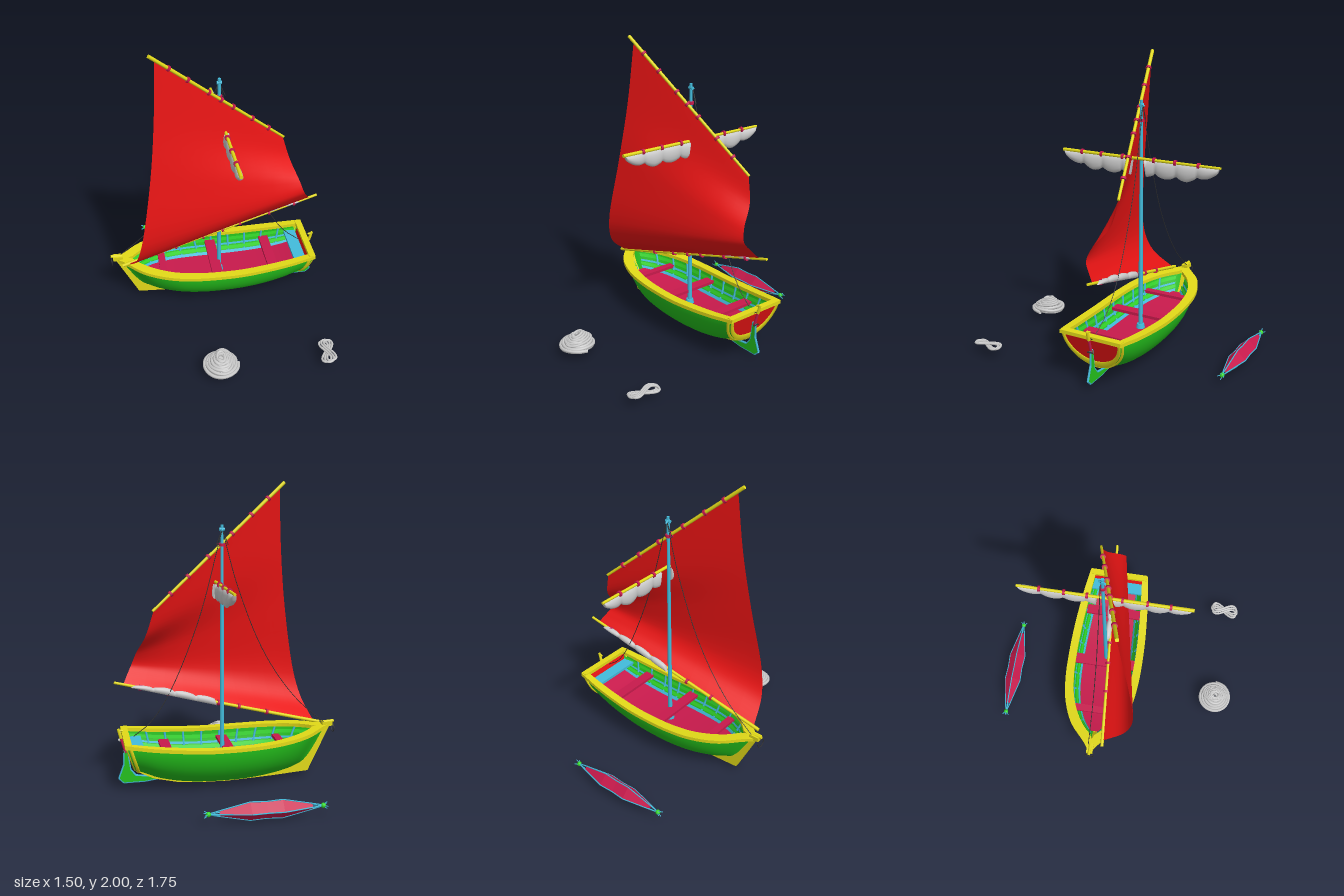
import * as THREE from 'three';

const GREEN = 0x24c01c, LIME = 0x34d82c, RED = 0xe81414, YELLOW = 0xe2da18, CYAN = 0x42bcdc, PINK = 0xc81a4c, GREY = 0xcccccc, DARK = 0x333333;
const ZC = -0.117; // boat centre line
const V = (x, y, z) => new THREE.Vector3(x, y, z);
const mat = (color, flatShading = false) => new THREE.MeshStandardMaterial({ color, flatShading, side: THREE.DoubleSide });

function add(parent, name, geo, color, flat) {
  const m = new THREE.Mesh(geo, mat(color, flat));
  m.name = name;
  parent.add(m);
  return m;
}
function box(parent, name, x, y, z, w, h, d, color) {
  add(parent, name, new THREE.BoxGeometry(w, h, d), color).position.set(x, y, z);
}
function rod(parent, name, a, b, r1, r2, color, sides = 12) {
  const m = add(parent, name, new THREE.CylinderGeometry(r2, r1, a.distanceTo(b), sides), color);
  m.position.lerpVectors(a, b, 0.5);
  m.quaternion.setFromUnitVectors(V(0, 1, 0), b.clone().sub(a).normalize());
}
function tube(parent, name, pts, r, color, seg = 32, closed = false) {
  add(parent, name, new THREE.TubeGeometry(new THREE.CatmullRomCurve3(pts, closed), seg, r, 6, closed), color);
}
function plate(parent, name, pts, depth, color) {
  const shape = new THREE.Shape(pts.map(p => new THREE.Vector2(...p)));
  add(parent, name, new THREE.ExtrudeGeometry(shape, { depth, bevelEnabled: false }), color).position.z = ZC - depth / 2;
}
// Surface through rows of points
function loft(rows, closed = false) {
  const n = rows[0].length, idx = [];
  for (let i = 0; i < rows.length - 1; i++)
    for (let j = 0; j < (closed ? n : n - 1); j++) {
      const a = i * n + j, b = i * n + (j + 1) % n;
      idx.push(a, b, a + n, b, b + n, a + n);
    }
  const g = new THREE.BufferGeometry().setFromPoints(rows.flat());
  g.setIndex(idx);
  g.computeVertexNormals();
  return g;
}
const range = (n, f) => Array.from({ length: n + 1 }, (_, i) => f(i / n));

// Hull lines at evenly spaced stations from bow to stern
const line = (vals) => {
  const c = new THREE.SplineCurve(vals.map((v, i) => new THREE.Vector2(i, v)));
  return (u) => c.getPoint(Math.min(1, Math.max(0, u))).y;
};
const beam = line([0.008, 0.145, 0.217, 0.245, 0.252, 0.25, 0.24, 0.226, 0.21]);
const sheer = line([0.345, 0.33, 0.315, 0.305, 0.3, 0.3, 0.31, 0.325, 0.345]);
const keel = line([0.1, 0.06, 0.035, 0.02, 0.015, 0.018, 0.032, 0.065, 0.122]);
// Point on the hull: u along, a from -90 (one rail) over 0 (keel) to 90 degrees (other rail)
function hullPoint(u, a, inset = 0) {
  const f = Math.cos(a), g = sheer(u), s = Math.sin(a);
  return V(THREE.MathUtils.lerp(-0.69 + 1.38 * u, -0.56 + 1.18 * u, f), g - (g - keel(u)) * f + inset * f,
    ZC + s * Math.max(0, beam(u) - inset));
}

function buildHull() {
  const hull = new THREE.Group(), H = Math.PI / 2;
  hull.name = 'hull';
  add(hull, 'planking', loft(range(40, u => range(24, t => hullPoint(u, (t * 2 - 1) * H)))), GREEN);
  // Transom with its border
  const edge = range(24, t => hullPoint(1, (t * 2 - 1) * H));
  const top = V(0.69, sheer(1), ZC);
  const inner = (dx) => edge.map(p => V(top.x + (p.x - top.x) * 0.82 + dx, top.y + (p.y - top.y) * 0.82, ZC + (p.z - ZC) * 0.92));
  add(hull, 'transom', loft([edge, edge.map(() => top)]), RED);
  add(hull, 'transomBorder', loft([edge, edge.map(p => p.clone().add(V(0.01, 0, 0))), inner(0.01), inner(0)]), YELLOW);
  tube(hull, 'sternTrim', range(16, t => hullPoint(0.985, (t * 2 - 1) * H)), 0.012, YELLOW);
  // Gunwale, floor, stringers and ribs
  const floorA = Math.acos(0.6);
  add(hull, 'floor', loft(range(24, t => [-1, 1].map(s => hullPoint(0.06 + 0.92 * t, s * floorA, 0.035)))), PINK);
  for (const s of [-1, 1]) {
    add(hull, 'gunwale', loft(range(40, u => {
      const y = sheer(u), x = -0.7 + 1.4 * u, w = beam(u);
      const inn = ZC + s * Math.max(0, w - 0.03 - 0.07 * (1 - u) ** 6);
      const out = ZC + s * (w + 0.027 - 0.014 * u ** 8 - 0.012 * (1 - u) ** 20);
      return [V(x, y - 0.012, inn), V(x, y + 0.012, inn), V(x, y + 0.012, out), V(x, y - 0.012, out)];
    }), true), YELLOW, true);
    for (const [a0, a1, inset, color] of [[0.92, 1.02, 0.032, CYAN], [1.05, 1.15, 0.03, LIME], [1.18, 1.24, 0.022, CYAN], [1.32, 1.42, 0.02, LIME]])
      add(hull, 'stringer', loft(range(32, t => [a0, a1].map(a => hullPoint(0.05 + 0.93 * t, s * a, inset)))), color);
    for (let i = 1; i < 10; i++)
      tube(hull, 'rib', range(6, t => hullPoint(0.03 + i * 0.095, s * (0.9 + 0.62 * t), 0.019)), 0.008, CYAN, 10);
  }
  box(hull, 'sternRail', 0.68, 0.347, ZC, 0.045, 0.024, 0.435, YELLOW);
  // Seats
  for (const [x, w, half] of [[-0.38, 0.05, 0.175], [0, 0.075, 0.232], [0.41, 0.07, 0.208]])
    box(hull, 'thwart', x, 0.24, ZC, w, 0.02, half * 2, PINK);
  box(hull, 'sternSeat', 0.61, 0.28, ZC, 0.085, 0.02, 0.395, CYAN);
  // Stem and keel in one plank
  plate(hull, 'stemAndKeel', [[-0.72, 0.357], [-0.565, 0.035], [-0.3, 0.015], [0, 0], [0.2, 0.004], [0.35, 0.018], [0.5, 0.052], [0.62, 0.112],
    [0.62, 0.125], [0.3, 0.04], [0, 0.03], [-0.4, 0.05], [-0.52, 0.11], [-0.61, 0.22], [-0.67, 0.35]], 0.03, YELLOW);
  // Bow fitting and mooring ring
  box(hull, 'bowBlock', -0.7, 0.362, ZC, 0.07, 0.03, 0.045, YELLOW);
  rod(hull, 'bowPeg', V(-0.75, 0.378, ZC), V(-0.67, 0.37, ZC), 0.01, 0.012, YELLOW);
  const ring = add(hull, 'mooringRing', new THREE.TorusGeometry(0.03, 0.003, 6, 20), DARK);
  ring.position.set(-0.745, 0.33, ZC);
  ring.rotation.y = Math.PI / 2;
  return hull;
}

function buildRudder() {
  const g = new THREE.Group();
  g.name = 'rudder';
  const pts = [[0.675, 0.26], [0.695, 0.25], [0.695, 0.16], [0.73, 0.065], [0.7, 0.035], [0.56, 0.036], [0.465, 0.048], [0.53, 0.066], [0.62, 0.078], [0.655, 0.12]];
  plate(g, 'rudderBlade', pts, 0.014, GREEN);
  pts.forEach((p, i) => {
    const q = pts[(i + 1) % pts.length];
    rod(g, 'rudderEdge', V(p[0], p[1], ZC), V(q[0], q[1], ZC), 0.008, 0.008, CYAN, 6);
  });
  rod(g, 'rudderPost', V(0.683, 0.24, ZC), V(0.715, 0.35, ZC), 0.009, 0.009, PINK);
  rod(g, 'tiller', V(0.712, 0.34, ZC), V(0.73, 0.405, ZC), 0.011, 0.009, YELLOW);
  rod(g, 'tillerGrip', V(0.735, 0.4, ZC), V(0.7, 0.39, ZC), 0.007, 0.007, YELLOW);
  for (const y of [0.25, 0.345])
    rod(g, 'rudderPin', V(0.7, y, ZC - 0.02), V(0.7, y, ZC + 0.02), 0.005, 0.005, DARK, 6);
  return g;
}

// A spar with lashing rings at the given fractions
function spar(parent, name, a, b, r, lashings) {
  rod(parent, name, a, b, r, r * 0.75, YELLOW);
  const d = b.clone().sub(a).normalize().multiplyScalar(0.008);
  for (const t of lashings) {
    const p = a.clone().lerp(b, t);
    rod(parent, 'lashing', p.clone().sub(d), p.clone().add(d), r * 1.6, r * 1.6, PINK);
  }
}
// Furled cloth gathered in lumps along a line; depth is signed along y
function furl(parent, a, b, depth, width, lumps) {
  const along = b.clone().sub(a).setY(0).normalize();
  const rows = range(48, t => {
    const lump = Math.sqrt(Math.abs(Math.sin(Math.PI * lumps * t)));
    const k = (0.68 + 0.32 * lump) * Math.min(1, 0.15 + 1.3 * Math.sqrt(t)) * (t === 0 || t === 1 ? 0.1 : 1);
    const c = a.clone().lerp(b, t);
    return range(11, s => {
      const q = s * Math.PI * 2 * 11 / 12, side = Math.cos(q) * width * (0.45 + 0.55 * lump);
      return V(c.x - along.z * side, c.y + depth * k * (0.5 + 0.5 * Math.sin(q)), c.z + along.x * side);
    });
  });
  add(parent, 'furledSail', loft(rows, true), GREY);
}

function buildRig() {
  const g = new THREE.Group();
  g.name = 'rig';
  rod(g, 'mast', V(0.035, 0.06, ZC), V(0.035, 1.73, ZC), 0.016, 0.01, CYAN);
  rod(g, 'mastStep', V(0.035, 0.13, ZC), V(0.035, 0.18, ZC), 0.035, 0.025, CYAN);
  rod(g, 'mastCollar', V(0.035, 1.59, ZC), V(0.035, 1.61, ZC), 0.02, 0.02, PINK);
  rod(g, 'mastHook', V(0.035, 1.71, ZC), V(0.035, 1.69, ZC - 0.022), 0.006, 0.006, CYAN);
  rod(g, 'mastCap', V(0.018, 1.7, ZC), V(0.052, 1.7, ZC), 0.011, 0.011, CYAN);
  spar(g, 'upperYard', V(-0.42, 1.995, 0.042), V(0.5, 1.195, -0.21), 0.012, [0.13, 0.26, 0.41, 0.5, 0.59, 0.74, 0.87]);
  spar(g, 'boom', V(-0.67, 0.35, -0.035), V(0.75, 0.725, -0.14), 0.012, [0.27, 0.41, 0.51, 0.6, 0.75, 0.88]);
  spar(g, 'crossYard', V(0.07, 1.355, 0.46), V(0.07, 1.355, -0.69), 0.012, [0.13, 0.26, 0.4, 0.6, 0.73, 0.87]);
  // Main sail stretched between its two curved edges
  const luff = new THREE.CatmullRomCurve3([V(-0.385, 1.96, 0.03), V(-0.41, 1.55, 0.07), V(-0.455, 1.15, 0.12), V(-0.54, 0.66, 0.163), V(-0.583, 0.49, 0.11), V(-0.63, 0.36, -0.037)]);
  const leech = new THREE.CatmullRomCurve3([V(0.495, 1.195, -0.21), V(0.545, 1.03, -0.178), V(0.6, 0.9, -0.08), V(0.63, 0.82, -0.055), V(0.66, 0.765, -0.09), V(0.69, 0.71, -0.135)]);
  add(g, 'mainSail', loft(range(30, t => range(10, s => luff.getPoint(t).lerp(leech.getPoint(t), s)))), RED);
  // Furled sails on the cross yard and the boom
  for (const s of [-1, 1])
    furl(g, V(0.072, 1.35, ZC + s * 0.565), V(0.072, 1.35, ZC + s * 0.047), -0.11, 0.023, 3.5);
  furl(g, V(0.64, 0.685, -0.139), V(0.07, 0.528, -0.106), 0.05, 0.021, 4);
  // Standing and running lines
  const head = V(0.035, 1.7, ZC - 0.012);
  tube(g, 'forestay', [head, V(-0.07, 1.32, ZC - 0.015), V(-0.25, 0.88, ZC - 0.015), V(-0.47, 0.56, ZC - 0.015), V(-0.7, 0.355, ZC - 0.015)], 0.0025, DARK);
  tube(g, 'sheet', [head, V(0.2, 1.1, -0.14), V(0.4, 0.62, -0.14), V(0.52, 0.44, -0.13), V(0.63, 0.35, -0.12)], 0.0025, DARK);
  for (const s of [-1, 1])
    rod(g, 'halyard', head, V(0.035 + s * 0.04, 1.6, ZC - 0.01), 0.0025, 0.0025, DARK, 6);
  return g;
}

// Rope heap and figure-eight rope lying beside the boat
function buildRopes() {
  const g = new THREE.Group(), TAU = Math.PI * 2;
  g.name = 'ropes';
  const spiral = (r0, r1, y0, y1, turns) => range(turns * 12, t => {
    const r = r0 + (r1 - r0) * t, q = t * turns * TAU;
    return V(-0.1 + r * Math.cos(q), y0 + (y1 - y0) * t + 0.004 * Math.sin(q * 2.3), 0.742 + r * Math.sin(q));
  });
  tube(g, 'ropeHeap', spiral(0.118, 0.02, 0.068, 0.142, 6), 0.012, GREY, 240);
  tube(g, 'ropeBase', spiral(0.115, 0.01, 0.064, 0.066, 5), 0.011, GREY, 200);
  for (let i = 0; i < 5; i++)
    tube(g, 'ropeLoop', range(15, t => {
      const q = t * TAU * 15 / 16, a = 0.025 + i * 0.009, b = 0.035 + i * 0.013;
      return V(-0.1 + a * Math.cos(q) + 0.004 * i, 0.143 - i * 0.009 - 0.012 * Math.sin(q), 0.745 + b * Math.sin(q));
    }), 0.009, GREY, 48, true);
  for (let i = -1; i < 2; i++)
    tube(g, 'figureEightRope', range(31, t => {
      const q = t * TAU * 31 / 32;
      return V(0.627 + 0.016 * i + 0.03 * Math.sin(2 * q) - 0.008 * Math.cos(q), 0.071 + 0.007 * Math.sin(q) + 0.004 * i, 0.745 + (0.1 - 0.008 * Math.abs(i)) * Math.cos(q));
    }), 0.008, GREY, 80, true);
  return g;
}

// Four-sided spindle trap behind the boat
function buildTrap() {
  const g = new THREE.Group(), c = V(-0.1, 0.068, -0.82);
  g.name = 'spindleTrap';
  const corner = (x, r, i) => V(c.x + x, c.y + r * Math.sin(i * Math.PI / 2), c.z + r * Math.cos(i * Math.PI / 2));
  const prof = [[-0.285, 0.018], [-0.1, 0.058], [0, 0.053], [0.1, 0.058], [0.285, 0.018]];
  add(g, 'trapPanels', loft(prof.map(([x, r]) => [0, 1, 2, 3].map(i => corner(x, r, i))), true), PINK, true);
  for (let i = 0; i < 4; i++) {
    const pts = [[-0.345, 0.004], ...prof, [0.345, 0.004]].map(([x, r]) => corner(x, r, i));
    for (let k = 1; k < pts.length; k++) rod(g, 'trapEdge', pts[k - 1], pts[k], 0.004, 0.004, CYAN, 6);
  }
  for (const s of [-1, 1]) {
    add(g, 'trapKnob', new THREE.SphereGeometry(0.016, 12, 8), LIME).position.set(c.x + s * 0.355, c.y, c.z);
    for (let i = 0; i < 4; i++)
      rod(g, 'trapProng', corner(s * 0.345, 0, 0), corner(s * 0.38, 0.022, i), 0.004, 0.003, CYAN, 6);
  }
  return g;
}

export function createModel() {
  const model = new THREE.Group();
  model.name = 'sailingBoat';
  model.add(buildHull(), buildRudder(), buildRig(), buildRopes(), buildTrap());
  return model;
}
